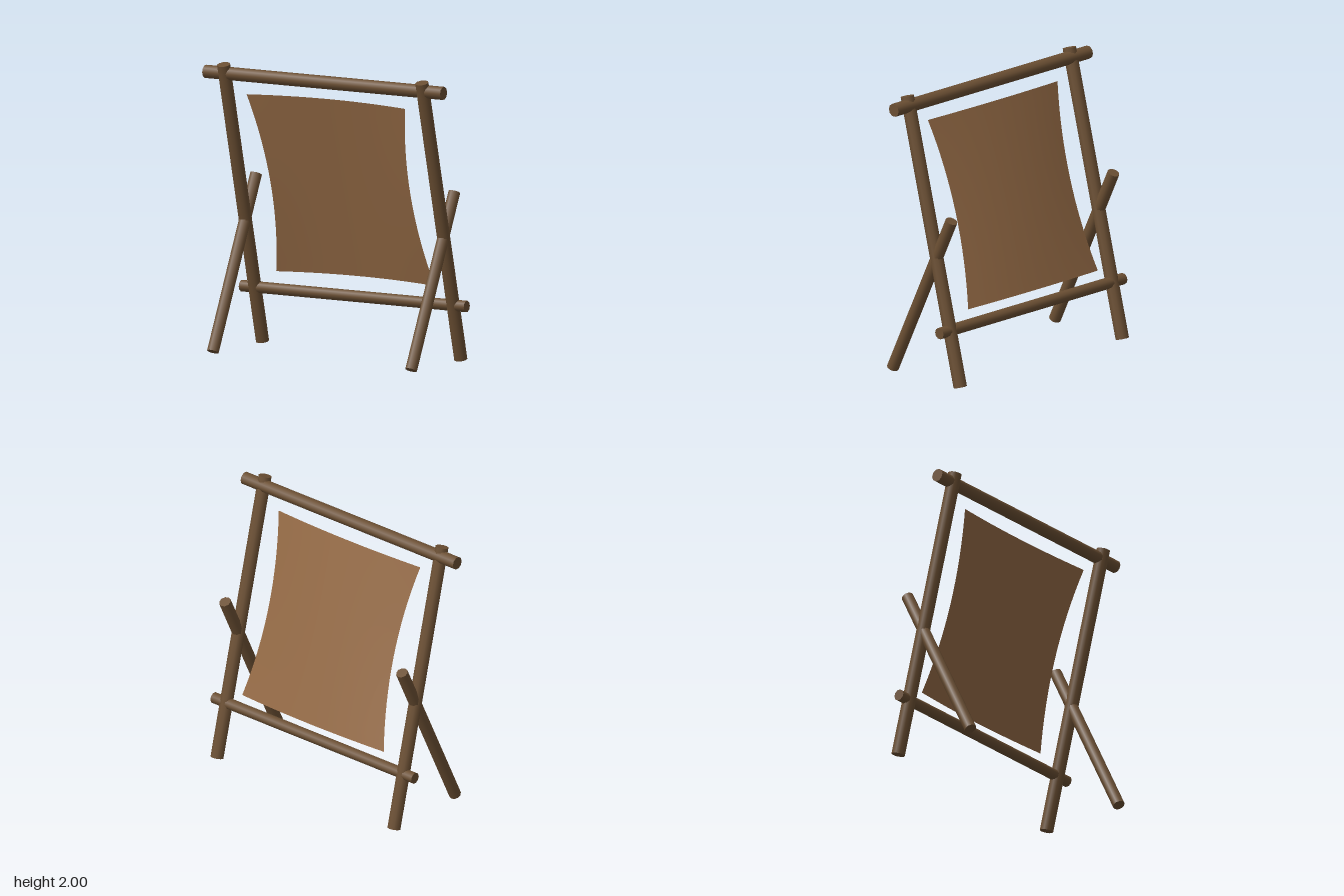
import * as THREE from 'three';

const wood = new THREE.MeshStandardMaterial({ color: 0x6b4f33 });
wood.name = 'wood';
const hide = new THREE.MeshStandardMaterial({ color: 0x946a45, side: THREE.DoubleSide });
hide.name = 'hide';

// Round pole between two points
function pole(name, from, to, radius) {
  const a = new THREE.Vector3(...from);
  const b = new THREE.Vector3(...to);
  const dir = b.clone().sub(a);
  const mesh = new THREE.Mesh(new THREE.CylinderGeometry(radius, radius, dir.length(), 10), wood);
  mesh.position.copy(a).add(b).multiplyScalar(0.5);
  mesh.quaternion.setFromUnitVectors(new THREE.Vector3(0, 1, 0), dir.normalize());
  mesh.name = name;
  return mesh;
}

// Stretched sheet with pinched sides, bowed towards the back
function stretchedHide() {
  const tilt = 0.292;
  const geometry = new THREE.PlaneGeometry(2, 2, 16, 16);
  const p = geometry.attributes.position;
  for (let i = 0; i < p.count; i++) {
    const u = p.getX(i);
    const v = p.getY(i);
    const halfWidth = 0.64 - 0.075 * (1 - v * v);
    p.setXYZ(i, u * halfWidth, v * 0.665, -0.041 * (1 - u * u));
  }
  geometry.rotateX(tilt);
  geometry.translate(0, 1.153, -0.045);
  geometry.computeVertexNormals();
  const mesh = new THREE.Mesh(geometry, hide);
  mesh.name = 'stretchedHide';
  return mesh;
}

export function createModel() {
  const group = new THREE.Group();
  group.name = 'stretchingFrame';

  // Leaning posts and the braces crossing them
  for (const [side, x] of [['left', 0.8], ['right', -0.8]]) {
    group.add(pole(side + 'Post', [x, 0.012, -0.315], [x, 1.988, 0.188], 0.047));
    group.add(pole(side + 'Brace', [x, 0.018, 0.326], [x, 1.18, -0.232], 0.042));
  }

  // Crossbars
  group.add(pole('topBar', [-0.96, 1.925, 0.163], [0.96, 1.925, 0.163], 0.046));
  group.add(pole('bottomBar', [-0.908, 0.397, -0.22], [0.908, 0.397, -0.22], 0.04));

  group.add(stretchedHide());
  return group;
}
